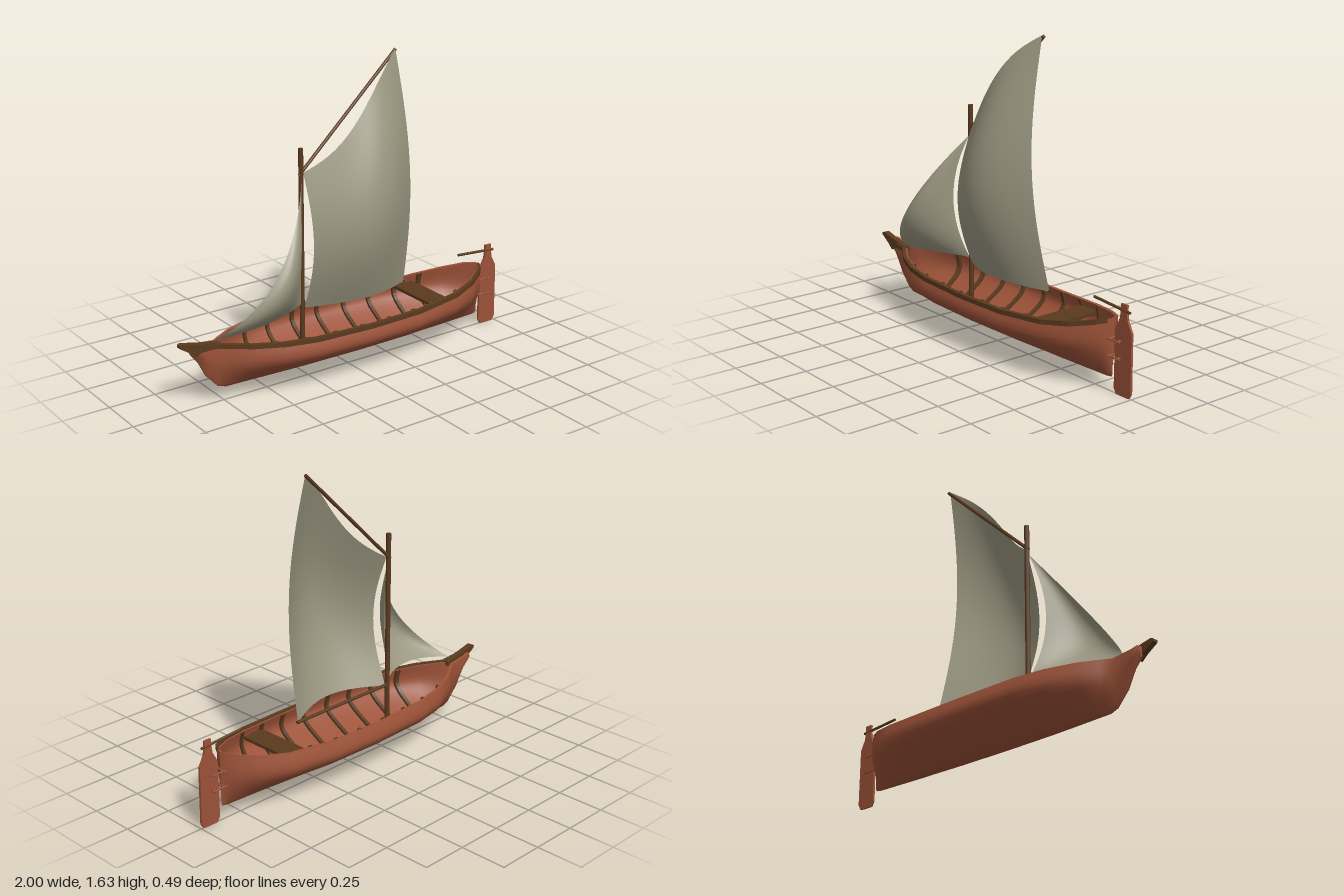
import * as THREE from 'three';

const mat = (color) => new THREE.MeshStandardMaterial({ color, side: THREE.DoubleSide });
const HULL = mat(0x9c5238), DARK = mat(0x5a3a1e), SAIL = mat(0x9c9882);

// hull stations: x, half width, top y, bottom y
const STATIONS = [
  [-0.935, 0, 0.345, 0.3], [-0.93, 0.028, 0.345, 0.29], [-0.89, 0.03, 0.335, 0.24],
  [-0.85, 0.031, 0.33, 0.16], [-0.785, 0.034, 0.322, 0.09], [-0.74, 0.068, 0.32, 0.075],
  [-0.65, 0.13, 0.316, 0.075], [-0.5, 0.195, 0.31, 0.075], [-0.335, 0.23, 0.305, 0.075],
  [0, 0.243, 0.3, 0.075], [0.3, 0.235, 0.302, 0.075], [0.57, 0.2, 0.318, 0.075],
  [0.72, 0.145, 0.338, 0.075], [0.83, 0.07, 0.362, 0.075], [0.862, 0.018, 0.37, 0.078],
  [0.87, 0, 0.37, 0.09],
];
// half section: fraction of half width, fraction of height
const HALF = new THREE.SplineCurve([[0, 0], [0.12, 0.015], [0.42, 0.17], [0.86, 0.46], [1, 0.7], [0.92, 1]]
  .map((p) => new THREE.Vector2(...p))).getPoints(15);

function station(x) {
  let i = 1;
  while (i < STATIONS.length - 1 && STATIONS[i][0] < x) i++;
  const a = STATIONS[i - 1], b = STATIONS[i];
  const t = (x - a[0]) / (b[0] - a[0]);
  return a.map((v, k) => v + (b[k] - v) * t);
}

// section across the hull at x, moved inwards by inset
function section(x, inset = 0) {
  const [, w0, top, bot0] = station(x);
  const w = Math.max(w0 - inset, 0), bot = bot0 + inset;
  const side = (s) => HALF.map((p) => [x, bot + (top - bot) * p.y, s * w * p.x]);
  return [...side(1).reverse(), ...side(-1).slice(1)];
}

// surface through rows of points
function loft(rows, flat = false) {
  const n = rows[0].length, index = [];
  for (let i = 0; i < rows.length - 1; i++) {
    for (let j = 0; j < n - 1; j++) {
      const a = i * n + j, b = a + n;
      index.push(a, a + 1, b, a + 1, b + 1, b);
    }
  }
  let g = new THREE.BufferGeometry();
  g.setAttribute('position', new THREE.Float32BufferAttribute(rows.flat(2), 3));
  g.setIndex(index);
  if (flat) g = g.toNonIndexed();
  g.computeVertexNormals();
  return g;
}

function add(parent, name, geometry, material) {
  const m = new THREE.Mesh(geometry, material);
  m.name = name;
  parent.add(m);
  return m;
}

function rod(parent, name, a, b, r, material = DARK, sides = 10) {
  const p = new THREE.Vector3(...a), q = new THREE.Vector3(...b);
  const m = add(parent, name, new THREE.CylinderGeometry(r, r, p.distanceTo(q), sides), material);
  m.position.copy(p).add(q).multiplyScalar(0.5);
  m.quaternion.setFromUnitVectors(new THREE.Vector3(0, 1, 0), q.sub(p).normalize());
  return m;
}

function plate(points, depth) {
  const shape = new THREE.Shape(points.map((p) => new THREE.Vector2(...p)));
  return new THREE.ExtrudeGeometry(shape, { depth, bevelEnabled: false });
}

function box(parent, name, size, pos, material) {
  const m = add(parent, name, new THREE.BoxGeometry(...size), material);
  m.position.set(...pos);
}

function makeHull(g) {
  const xs = STATIONS.map((s) => s[0]);
  const outer = xs.map((x) => section(x)), inner = xs.map((x) => section(x, 0.02));
  add(g, 'hullOutside', loft(outer), HULL);
  add(g, 'hullInside', loft(inner), HULL);
  const last = outer[0].length - 1;
  for (const k of [0, last]) {
    add(g, 'hullRim', loft(outer.map((row, i) => [row[k], inner[i][k]]), true), HULL);
  }
  // rail along the left edge only
  const rail = xs.slice(3, -1).map((x) => {
    const [, w, top] = station(x), z = w * 0.92;
    return [[x, top - 0.018, z - 0.008], [x, top + 0.006, z - 0.008], [x, top + 0.006, z + 0.014],
      [x, top - 0.018, z + 0.014], [x, top - 0.018, z - 0.008]];
  });
  add(g, 'rail', loft(rail, true), DARK);
  const prow = plate([[-1, 0.352], [-0.94, 0.312], [-0.91, 0.285], [-0.89, 0.302], [-0.78, 0.305],
    [-0.78, 0.33], [-0.9, 0.35], [-0.985, 0.37], [-1, 0.365]], 0.032);
  add(g, 'prow', prow, DARK);
  // curved ribs
  for (const x of [-0.53, -0.37, -0.21, -0.05, 0.12, 0.28, 0.44, 0.59]) {
    const rows = [[-0.01, 0.018], [-0.01, 0.034], [0.01, 0.034], [0.01, 0.018]]
      .map(([dx, inset]) => section(x + dx, inset));
    add(g, 'rib', loft(rows, true), DARK);
  }
  box(g, 'bench', [0.125, 0.016, 0.38], [0.497, 0.27, 0], DARK);
}

function makeSails(g) {
  const N = 20, bump = (t) => Math.sin(Math.PI * t);
  // four-cornered main sail, u along the foot and v up the mast
  const main = [];
  for (let i = 0; i <= N; i++) {
    const v = i / N, row = [];
    for (let j = 0; j <= N; j++) {
      const u = j / N;
      const x = -0.25 + u * (0.63 - 0.07 * v);
      const top = 1.08 + 0.55 * u - 0.03 * Math.sin(2 * Math.PI * u);
      const y = 0.365 + v * (top - 0.365) + 0.015 * bump(u) * (1 - v);
      row.push([x, y, -0.025 + 0.1 * bump(u) + 0.09 * bump(v) + 0.04 * bump(u) * bump(v)]);
    }
    main.push(row);
  }
  add(g, 'mainSail', loft(main), SAIL);

  // three-cornered fore sail, swept from foot to head
  const fore = [];
  for (let i = 0; i <= N; i++) {
    const a = i / N, row = [];
    for (let j = 0; j <= N; j++) {
      const c = (1 - a) * j / N, b = 1 - a - c;
      const x = -0.26 * a - 0.81 * b - 0.27 * c - 0.19 * a * c;
      const y = 1.05 * a + 0.345 * b + 0.39 * c - 0.2 * a * b + 0.06 * b * c;
      const z = -0.025 * (a + c) + 0.02 * b + 4 * (0.17 * a * b + 0.08 * b * c + 0.07 * a * c) + 1.6 * a * b * c;
      row.push([x, y, z]);
    }
    fore.push(row);
  }
  add(g, 'foreSail', loft(fore), SAIL);
}

function makeRudder(g) {
  const half = [[0.02, 0.46], [0.02, 0.425], [0.026, 0.385], [0.055, 0.33], [0.057, 0.03], [0.042, 0.004]];
  const outline = [...half.map(([x, y]) => [0.943 + x, y]),
    ...half.slice().reverse().map(([x, y]) => [0.943 - x, y])];
  add(g, 'rudderBlade', plate(outline, 0.012).translate(0, 0, -0.006), HULL);
  rod(g, 'tiller', [0.98, 0.425, 0], [0.735, 0.442, 0], 0.007);
  // hinge brackets
  for (const y of [0.19, 0.275]) {
    for (const z of [-0.025, 0.025]) rod(g, 'hingeArm', [0.85, y, z], [0.94, y, z], 0.005, HULL, 8);
    for (const x of [0.87, 0.925]) rod(g, 'hingeBar', [x, y, -0.034], [x, y, 0.034], 0.005, HULL, 8);
  }
}

export function createModel() {
  const boat = new THREE.Group();
  boat.name = 'sailingBoat';
  const part = (name, build) => {
    const g = new THREE.Group();
    g.name = name;
    build(g);
    boat.add(g);
  };
  part('hull', makeHull);
  part('rigging', (g) => {
    rod(g, 'mast', [-0.26, 0.1, -0.03], [-0.26, 1.205, -0.03], 0.013);
    rod(g, 'boom', [-0.27, 0.37, -0.03], [0.39, 0.37, -0.03], 0.009);
    rod(g, 'gaff', [-0.27, 1.07, -0.03], [0.315, 1.625, -0.03], 0.009);
  });
  part('sails', makeSails);
  part('rudder', makeRudder);
  return boat;
}
